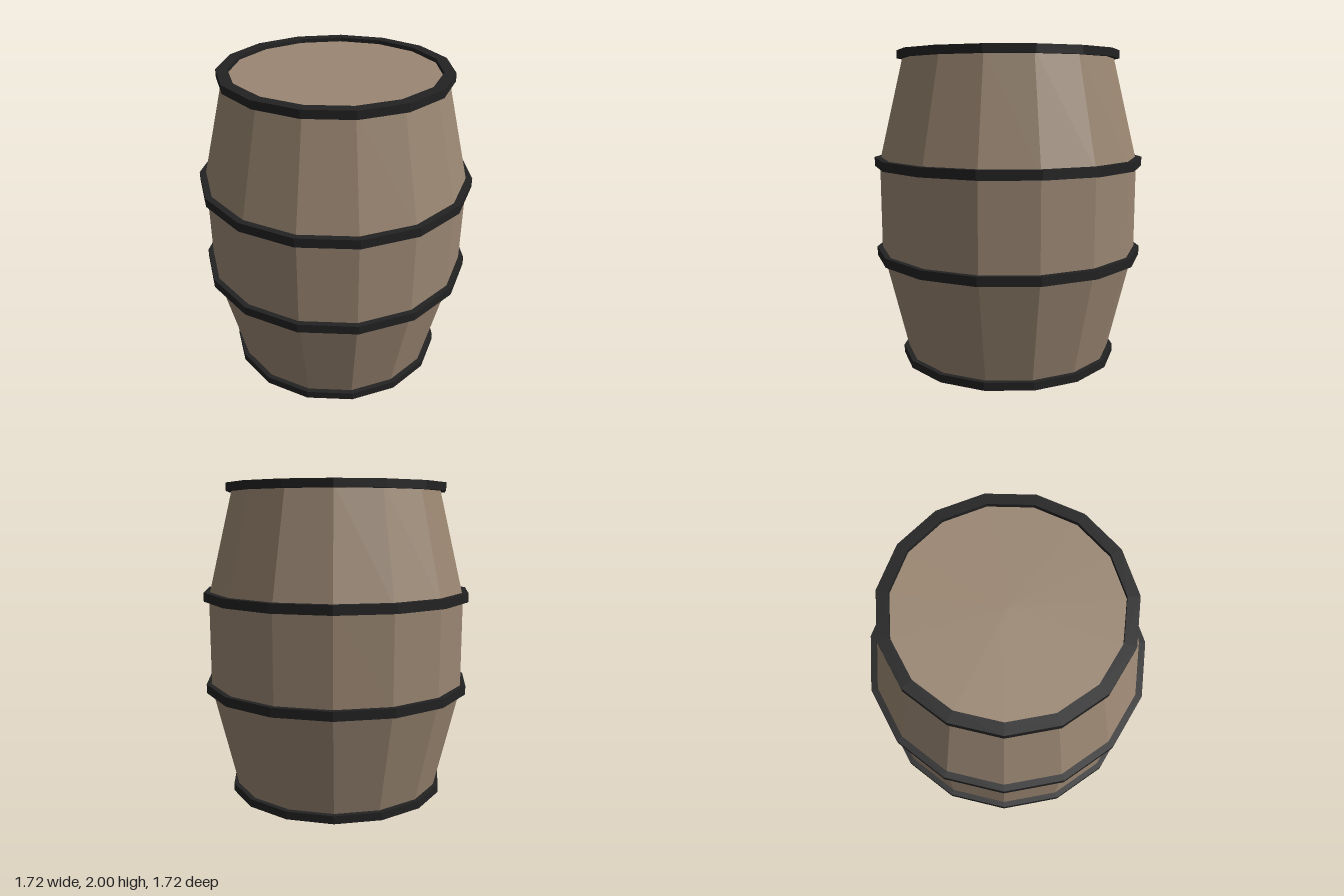
import * as THREE from 'three';

const SIDES = 15;

// Faceted solid of revolution with a corner pointing to the back
function turned(name, profile, material) {
  const points = profile.map(([r, y]) => new THREE.Vector2(r, y));
  const mesh = new THREE.Mesh(new THREE.LatheGeometry(points, SIDES, Math.PI), material);
  mesh.name = name;
  return mesh;
}

export function createModel() {
  const wood = new THREE.MeshStandardMaterial({ color: 0x9a8672, flatShading: true });
  const iron = new THREE.MeshStandardMaterial({ color: 0x222222, flatShading: true });

  const barrel = new THREE.Group();
  barrel.name = 'barrel';

  // Staves with both end lids, slightly recessed inside the end hoops
  barrel.add(turned('body', [
    [0, 0.025], [0.67, 0.025], [0.833, 0.71], [0.833, 1.3], [0.67, 1.975], [0, 1.975],
  ], wood));

  // Hoops: name, inner radius, outer radius, bottom, top
  const hoops = [
    ['bottomHoop', 0.64, 0.708, 0, 0.05],
    ['lowerHoop', 0.8, 0.867, 0.68, 0.737],
    ['upperHoop', 0.8, 0.867, 1.27, 1.327],
    ['topHoop', 0.64, 0.71, 1.95, 2],
  ];
  for (const [name, inner, outer, y0, y1] of hoops) {
    barrel.add(turned(name, [
      [inner, y0], [outer, y0], [outer, y1], [inner, y1], [inner, y0],
    ], iron));
  }

  // Centre the odd-sided outline in depth
  barrel.position.z = 0.009;
  const model = new THREE.Group();
  model.name = 'model';
  model.add(barrel);
  return model;
}
